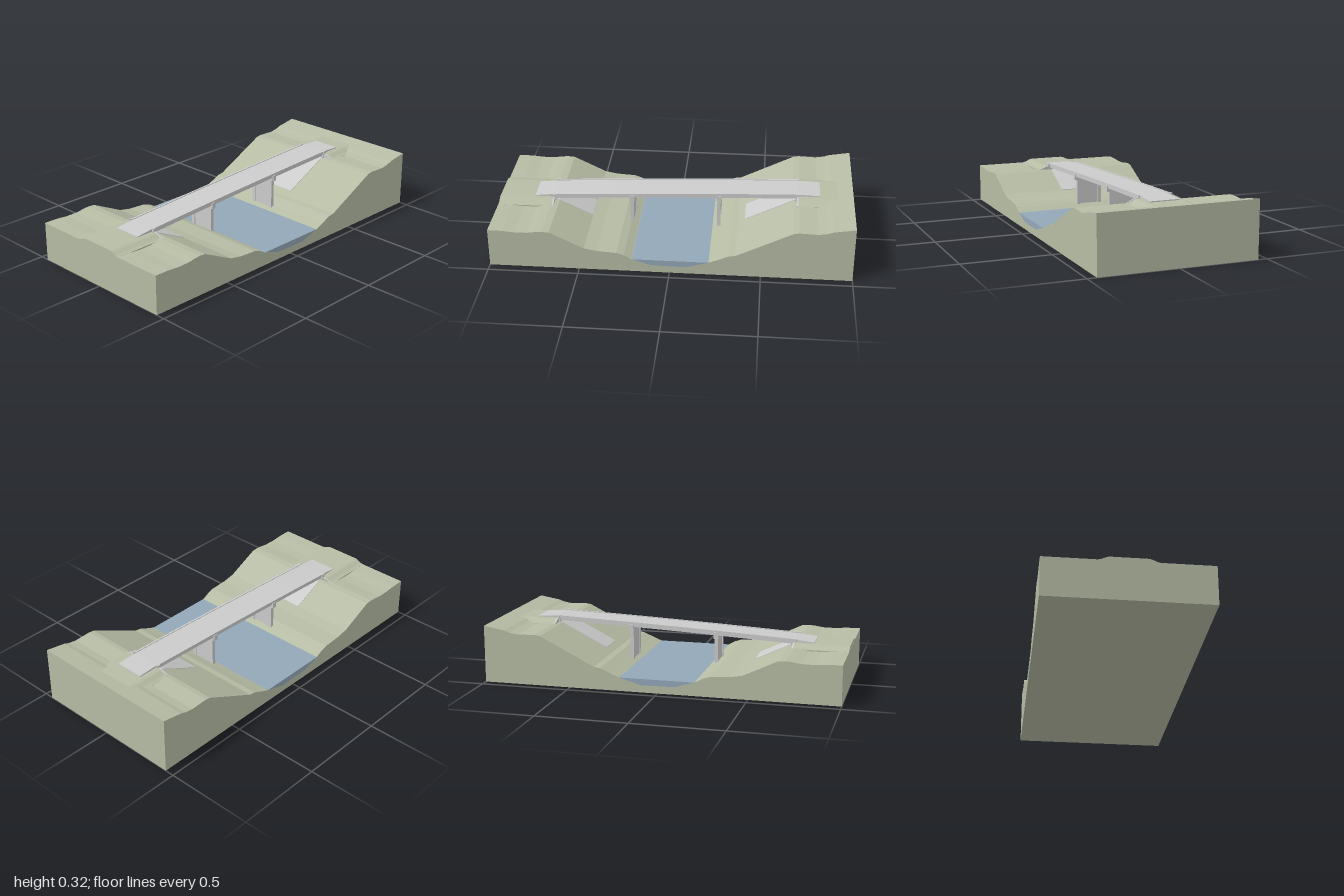
import * as THREE from 'three';

const material = (color) => new THREE.MeshStandardMaterial({ color, flatShading: true });

// Extrude a (z, y) outline across the model between x0 and x1
function across(points, x0, x1) {
  const shape = new THREE.Shape(points.map(([z, y]) => new THREE.Vector2(z, y)));
  const g = new THREE.ExtrudeGeometry(shape, { depth: x1 - x0, bevelEnabled: false });
  return g.rotateY(-Math.PI / 2).translate(x1, 0, 0);
}

// Extrude an (x, y) outline along the model between z0 and z1
function along(points, z0, z1) {
  const shape = new THREE.Shape(points.map(([x, y]) => new THREE.Vector2(x, y)));
  const g = new THREE.ExtrudeGeometry(shape, { depth: z1 - z0, bevelEnabled: false });
  return g.translate(0, 0, z0);
}

// Box given by its limits
function box(x0, x1, y0, y1, z0, z1) {
  return new THREE.BoxGeometry(x1 - x0, y1 - y0, z1 - z0)
    .translate((x0 + x1) / 2, (y0 + y1) / 2, (z0 + z1) / 2);
}

// Valley section (z, y)
const GROUND = [
  [1, 0.222], [0.92, 0.221], [0.85, 0.215], [0.78, 0.216], [0.74, 0.222], [0.7, 0.226], [0.66, 0.223],
  [0.47, 0.132], [0.4, 0.119], [0.29, 0.112], [0.25, 0.099], [0.21, 0.077], [0.1, 0.043],
  [-0.09, 0.04], [-0.215, 0.076], [-0.27, 0.098], [-0.325, 0.122], [-0.36, 0.127],
  [-0.67, 0.282], [-0.7, 0.287], [-0.8, 0.283], [-0.85, 0.291], [-0.88, 0.302], [-1, 0.322],
];

function groundY(z) {
  for (let i = 1; i < GROUND.length; i++) {
    const [z0, y0] = GROUND[i - 1], [z1, y1] = GROUND[i];
    if (z >= z1) return y0 + (y1 - y0) * (z - z0) / (z1 - z0);
  }
  return GROUND[GROUND.length - 1][1];
}

// Road height: rises towards the back with a slight crown
const HALF = 0.69;
const deckY = (z) => 0.2885 - 0.0446 * z + 0.004 * (1 - (z / HALF) ** 2);

// Beam that follows the road between two offsets from its surface
function roadBeam(x0, x1, low, high) {
  const top = [], bottom = [];
  for (let i = 0; i <= 12; i++) {
    const z = -HALF + (2 * HALF * i) / 12;
    top.push([z, deckY(z) + high]);
    bottom.unshift([z, deckY(z) + low]);
  }
  return across([...top, ...bottom], x0, x1);
}

export function createModel() {
  const group = new THREE.Group();
  const earth = material(0xb6bca4);
  const blue = material(0x93a7b8);
  const grey = material(0xcccccc);
  const add = (name, geometry, mat = grey) => {
    const mesh = new THREE.Mesh(geometry, mat);
    mesh.name = name;
    group.add(mesh);
  };

  // Land block and water
  add('ground', across([...GROUND, [-1, 0], [1, 0]], -0.449, 0.449), earth);
  add('water', across([[0.207, 0.076], [0.1, 0.043], [-0.09, 0.04], [-0.215, 0.076]], -0.4495, 0.4495), blue);

  // Approach embankments with sloping shoulders
  const embankment = (low, high) => {
    const side = [[0.16, low], [0.14, low + (high - low) * 0.25], [0.115, low + (high - low) * 0.85], [0.1, high]];
    return [...side, ...side.map(([x, y]) => [-x, y]).reverse(), [-0.16, low - 0.02], [0.16, low - 0.02]];
  };
  add('frontEmbankment', along(embankment(0.222, 0.242), 0.685, 0.9995), earth);
  add('backEmbankment', along(embankment(0.285, 0.308), -0.95, -0.695), earth);

  // Deck, girders and kerbs
  add('deck', roadBeam(-0.082, 0.082, -0.012, 0), grey);
  add('deckUnderside', roadBeam(-0.06, 0.06, -0.02, -0.011));
  for (const s of [-1, 1]) {
    const mirrored = (a, b) => (s > 0 ? [a, b] : [-b, -a]);
    add('kerb', roadBeam(...mirrored(0.081, 0.091), -0.008, 0.004));
    add('girder', roadBeam(...mirrored(0.064, 0.084), -0.025, -0.007));
  }

  for (const end of [1, -1]) {
    const z = end * HALF;
    const y = deckY(z);
    const bank = end > 0 ? 0.242 : 0.308;
    const foot = end > 0 ? 0.222 : 0.285;

    // Approach slab on the embankment
    const far = end > 0 ? 0.8 : -0.815;
    const farY = end > 0 ? 0.246 : 0.314;
    add('approachSlab', across([[z, y], [far, farY], [far, farY - 0.008], [z, y - 0.018]], -0.082, 0.082));

    // Abutment with bearing seat, end posts and wing walls
    add('abutment', box(-0.092, 0.092, foot - 0.04, y - 0.024, z - 0.012, z + 0.012));
    for (const s of [-1, 1]) {
      const post = box(-0.005, 0.005, foot - 0.02, y + 0.005, z - 0.01, z + 0.01);
      add('endPost', post.translate(s * 0.092, 0, 0));
      const wing = [[0.09, foot - 0.02], [0.155, foot - 0.02], [0.155, foot + 0.003], [0.115, bank], [0.09, bank + 0.004]];
      add('wingWall', along(wing.map(([x, h]) => [s * x, h]), z - 0.005, z + 0.005));
    }

    // Paved slope below the abutment
    const slope = end > 0 ? [0.67, 0.66, 0.47] : [-0.68, -0.67, -0.4];
    const top = slope.map((p) => [p, groundY(p) + 0.003]);
    const under = slope.map((p) => [p, groundY(p) - 0.01]).reverse();
    add('slopePaving', across([...top, ...under], -0.086, 0.086));
  }

  // Piers: two columns, a thin web wall and a projecting cap
  for (const z of [0.245, -0.25]) {
    const top = deckY(z) - 0.022;
    const foot = groundY(z) - 0.02;
    add('pierCap', box(-0.088, 0.088, top - 0.022, top, z - 0.014, z + 0.014));
    add('pierWall', box(-0.06, 0.06, foot, top - 0.02, z - 0.005, z + 0.005));
    for (const s of [-1, 1]) {
      add('pierColumn', box(-0.01, 0.01, foot, top - 0.02, z - 0.01, z + 0.01).translate(s * 0.066, 0, 0));
      add('capBracket', box(-0.006, 0.006, top - 0.022, top + 0.012, z - 0.012, z + 0.012).translate(s * 0.086, 0, 0));
    }
  }
  return group;
}
